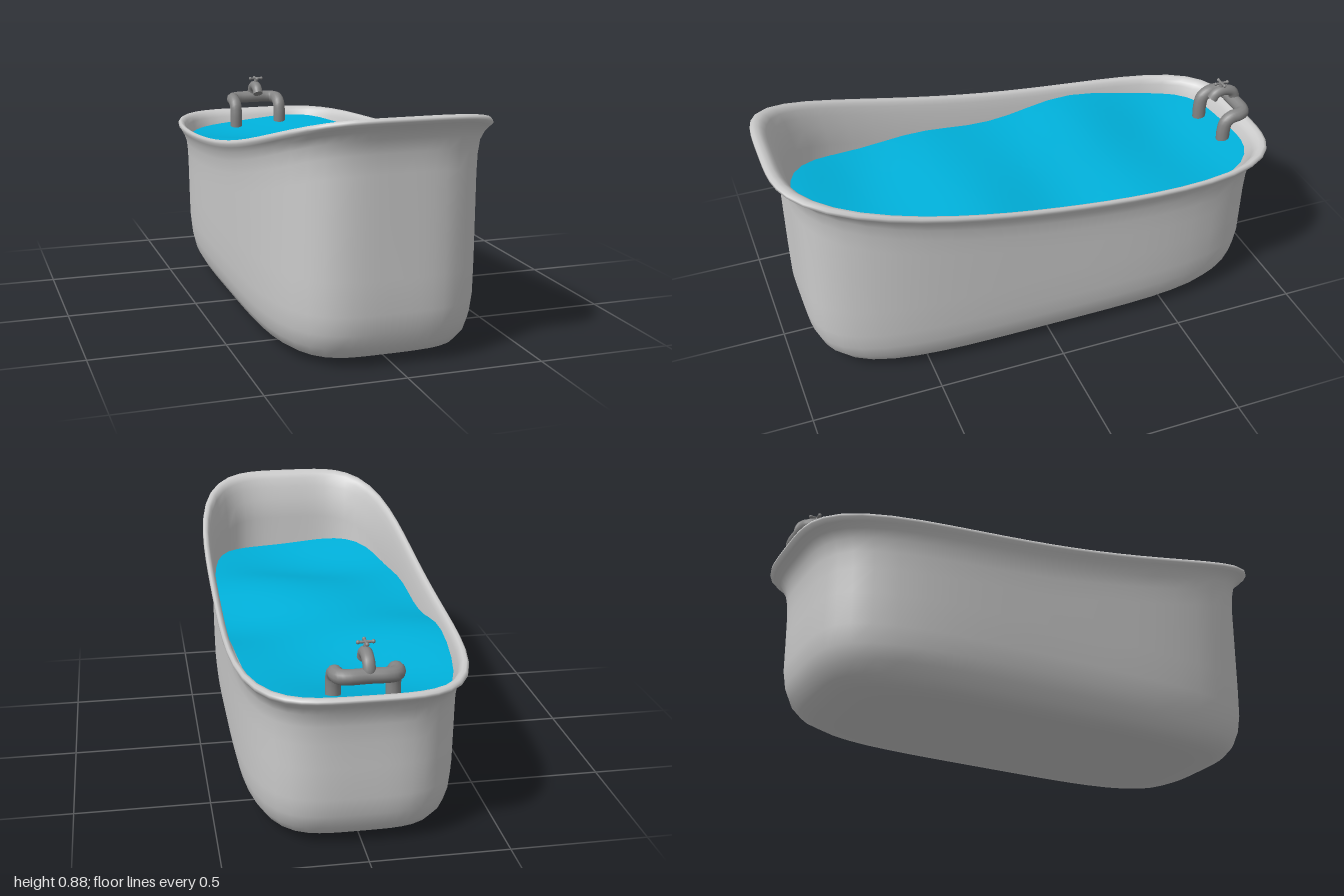
import * as THREE from 'three';

const grey = new THREE.MeshStandardMaterial({ color: 0xcccccc });
const darkGrey = new THREE.MeshStandardMaterial({ color: 0x858585 });
const blue = new THREE.MeshStandardMaterial({ color: 0x00b0da });
const SEG = 64;

// Rim height along the tub; t runs from -1 (tap end) to 1 (raised end)
const rimHeight = t => 0.61 + 0.275 * Math.pow(Math.max(0, (t + 1) / 2), 2.4);

// Skin a stack of rounded-rectangle rings: { a: half width, b: half length, y(x, z, t) }
function loft(rings, material, name) {
  const pos = [], index = [];
  rings.forEach(({ a, b, y }, i) => {
    for (let j = 0; j < SEG; j++) {
      const c = Math.cos(j / SEG * Math.PI * 2), s = Math.sin(j / SEG * Math.PI * 2);
      const r = Math.pow(c ** 4 + s ** 4, -0.25);
      pos.push(a * r * c, y(a * r * c, b * r * s, r * s), b * r * s);
      if (i === 0) continue;
      const k = (j + 1) % SEG, lo = (i - 1) * SEG, hi = i * SEG;
      index.push(lo + j, hi + j, lo + k, hi + j, hi + k, lo + k);
    }
  });
  const g = new THREE.BufferGeometry();
  g.setAttribute('position', new THREE.Float32BufferAttribute(pos, 3));
  g.setIndex(index);
  g.computeVertexNormals();
  const mesh = new THREE.Mesh(g, material);
  mesh.name = name;
  return mesh;
}

function tube(points, radius, name) {
  const curve = new THREE.CatmullRomCurve3(points.map(p => new THREE.Vector3(...p)), false, 'centripetal');
  const mesh = new THREE.Mesh(new THREE.TubeGeometry(curve, 64, radius, 12), darkGrey);
  mesh.name = name;
  // Flat caps on both ends
  for (const u of [0, 1]) {
    const cap = new THREE.Mesh(new THREE.CircleGeometry(radius, 12), darkGrey);
    cap.position.copy(curve.getPoint(u));
    cap.lookAt(cap.position.clone().addScaledVector(curve.getTangent(u), u ? 1 : -1));
    cap.name = 'pipeEnd';
    mesh.add(cap);
  }
  return mesh;
}

function createTub() {
  const fixed = (a, b, h) => ({ a, b, y: () => h });
  const below = (a, b, d) => ({ a, b, y: (x, z, t) => rimHeight(t) - d });
  return loft([
    // Underside and rounded foot
    fixed(0, 0, 0), fixed(0.15, 0.4, 0), fixed(0.29, 0.71, 0), fixed(0.33, 0.79, 0.01),
    fixed(0.359, 0.85, 0.035), fixed(0.381, 0.885, 0.075), fixed(0.393, 0.907, 0.13),
    fixed(0.399, 0.918, 0.2), fixed(0.401, 0.92, 0.32),
    // Outer wall and flared rim
    below(0.402, 0.922, 0.2), below(0.403, 0.927, 0.13), below(0.407, 0.938, 0.08),
    below(0.416, 0.96, 0.048), below(0.426, 0.985, 0.028), below(0.434, 1.0, 0.016),
    below(0.433, 0.999, 0.006), below(0.427, 0.988, 0), below(0.417, 0.97, 0.003),
    below(0.41, 0.955, 0.014), below(0.405, 0.944, 0.03),
    // Inner wall and floor
    below(0.399, 0.93, 0.065), below(0.393, 0.914, 0.12), below(0.388, 0.898, 0.2),
    fixed(0.382, 0.885, 0.25), fixed(0.355, 0.85, 0.11), fixed(0.3, 0.74, 0.05), fixed(0, 0, 0.04),
  ], grey, 'tub');
}

function createWater() {
  // Two crossing swells
  const wave = (x, z) => 0.56
    + 0.013 * Math.sin(10 * z + 0.6 * x - 1.17)
    + 0.016 * Math.sin(5 * z - 6 * x + 1.3);
  const rings = [];
  for (let i = 24; i >= 0; i--) {
    const k = i / 24;
    rings.push({ a: 0.393 * k, b: 0.897 * k, y: wave });
  }
  const water = loft(rings, blue, 'water');
  water.position.z = -0.015;
  return water;
}

function createTap() {
  const tap = new THREE.Group();
  tap.name = 'tap';

  // Two legs joined by a crossbar behind
  const half = [[0.103, 0.53, -0.855], [0.103, 0.61, -0.855], [0.103, 0.642, -0.863],
    [0.103, 0.66, -0.888], [0.102, 0.664, -0.92], [0.09, 0.665, -0.941], [0.065, 0.666, -0.949]];
  const mirrored = half.map(([x, y, z]) => [-x, y, z]).reverse();
  tap.add(tube([...half, [0, 0.667, -0.949], ...mirrored], 0.027, 'supplyPipe'));

  // Arched spout
  tap.add(tube([[0, 0.664, -0.949], [0, 0.69, -0.949], [0, 0.712, -0.937], [0, 0.724, -0.91],
    [0, 0.724, -0.885], [0, 0.714, -0.862], [0, 0.694, -0.848]], 0.022, 'spout'));

  // Valve stem with a cross handle
  const valve = new THREE.Group();
  valve.name = 'valve';
  valve.position.set(0, 0.74, -0.885);
  const stem = new THREE.Mesh(new THREE.CylinderGeometry(0.007, 0.01, 0.04, 10), darkGrey);
  stem.name = 'valveStem';
  valve.add(stem);
  for (let i = 0; i < 4; i++) {
    const arm = new THREE.Group();
    arm.name = 'handleArm';
    arm.position.y = 0.021;
    arm.rotation.y = i * Math.PI / 2;
    const bar = new THREE.Mesh(new THREE.CylinderGeometry(0.005, 0.005, 0.03, 8), darkGrey);
    bar.rotation.z = Math.PI / 2;
    bar.position.x = 0.015;
    bar.name = 'handleBar';
    const knob = new THREE.Mesh(new THREE.SphereGeometry(0.007, 10, 8), darkGrey);
    knob.position.x = 0.026;
    knob.name = 'handleKnob';
    arm.add(bar, knob);
    valve.add(arm);
  }
  tap.add(valve);
  return tap;
}

export function createModel() {
  const model = new THREE.Group();
  model.name = 'bathtub';
  model.add(createTub(), createWater(), createTap());
  return model;
}
